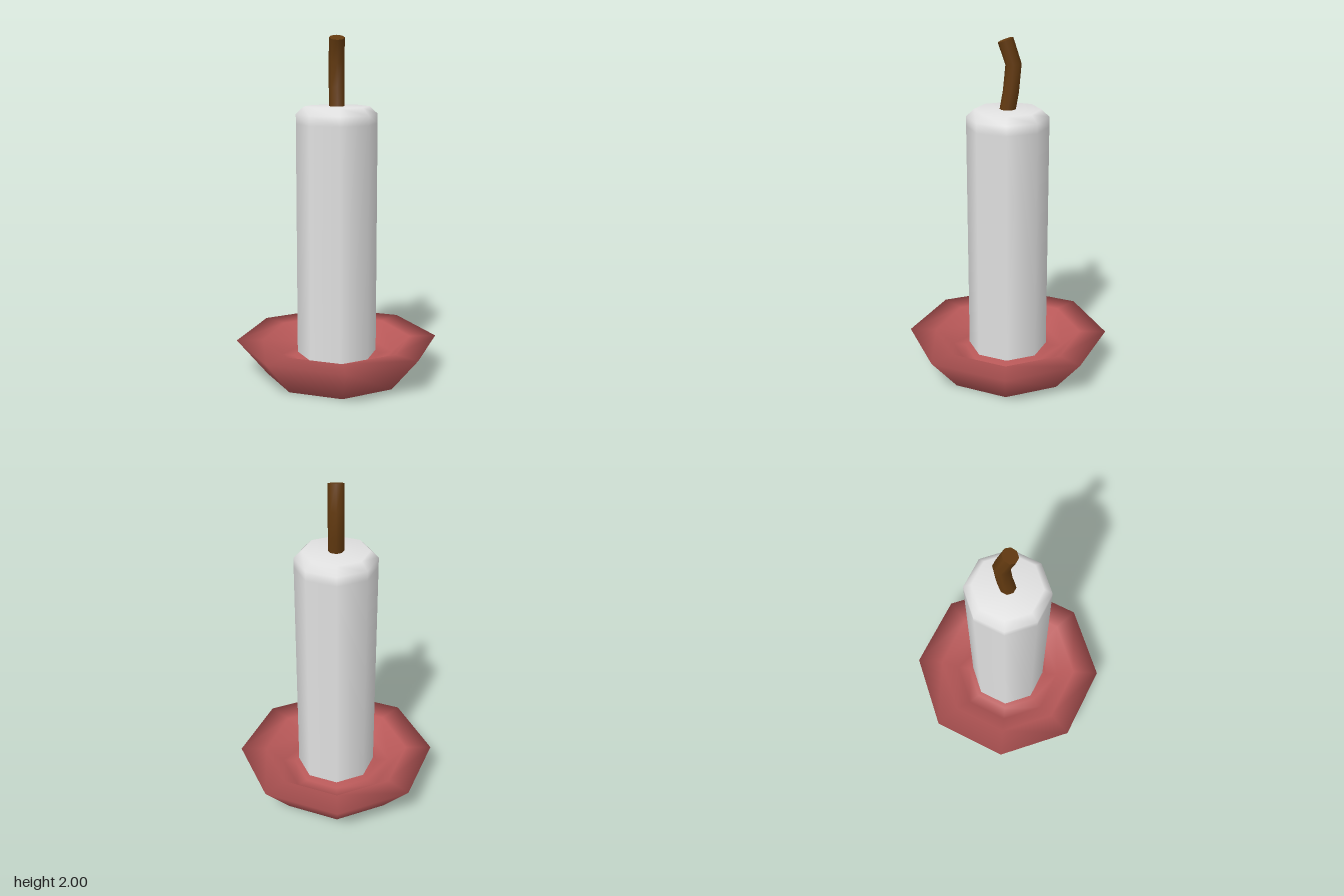
import * as THREE from 'three';

const material = (name, color) => {
  const m = new THREE.MeshStandardMaterial({ color });
  m.name = name;
  return m;
};

// Eight-sided turned part with smooth normals
function turned(name, profile, mat) {
  const points = profile.map(([r, y]) => new THREE.Vector2(r, y));
  const mesh = new THREE.Mesh(new THREE.LatheGeometry(points, 8), mat);
  mesh.name = name;
  return mesh;
}

// Bent wick: each ring of a cylinder is moved and tilted to follow the bend
function wickGeometry() {
  const rings = [
    { y: 1.57, z: 0.005, tilt: -0.18 },
    { y: 1.7, z: -0.018, tilt: -0.14 },
    { y: 1.85, z: -0.032, tilt: 0.08 },
    { y: 1.984, z: 0.012, tilt: 0.34 },
  ];
  const geo = new THREE.CylinderGeometry(0.045, 0.045, 3, 8, 3);
  const pos = geo.attributes.position;
  const nor = geo.attributes.normal;
  const axis = new THREE.Vector3(1, 0, 0);
  const v = new THREE.Vector3();
  for (let i = 0; i < pos.count; i++) {
    const ring = rings[Math.round(pos.getY(i) + 1.5)];
    v.set(pos.getX(i), 0, pos.getZ(i)).applyAxisAngle(axis, ring.tilt);
    pos.setXYZ(i, v.x, v.y + ring.y, v.z + ring.z);
    v.fromBufferAttribute(nor, i).applyAxisAngle(axis, ring.tilt);
    nor.setXYZ(i, v.x, v.y, v.z);
  }
  return geo;
}

export function createModel() {
  const red = material('dish red', 0xb85858);
  const white = material('wax white', 0xe2e2e2);
  const brown = material('wick brown', 0x633a10);

  const model = new THREE.Group();
  model.name = 'candle';

  // Dish: flat base, flared wall, broad rim, sunken floor rising under the wax
  model.add(turned('dish', [
    [0, 0], [0.415, 0], [0.597, 0.215], [0.44, 0.215],
    [0.335, 0.12], [0.26, 0.112], [0.22, 0.15], [0, 0.15],
  ], red));

  // Wax column with a bevelled top edge
  model.add(turned('wax', [
    [0.235, 0.1], [0.235, 1.5], [0.235, 1.555], [0.19, 1.598], [0, 1.6],
  ], white));

  const wick = new THREE.Mesh(wickGeometry(), brown);
  wick.name = 'wick';
  model.add(wick);

  return model;
}
